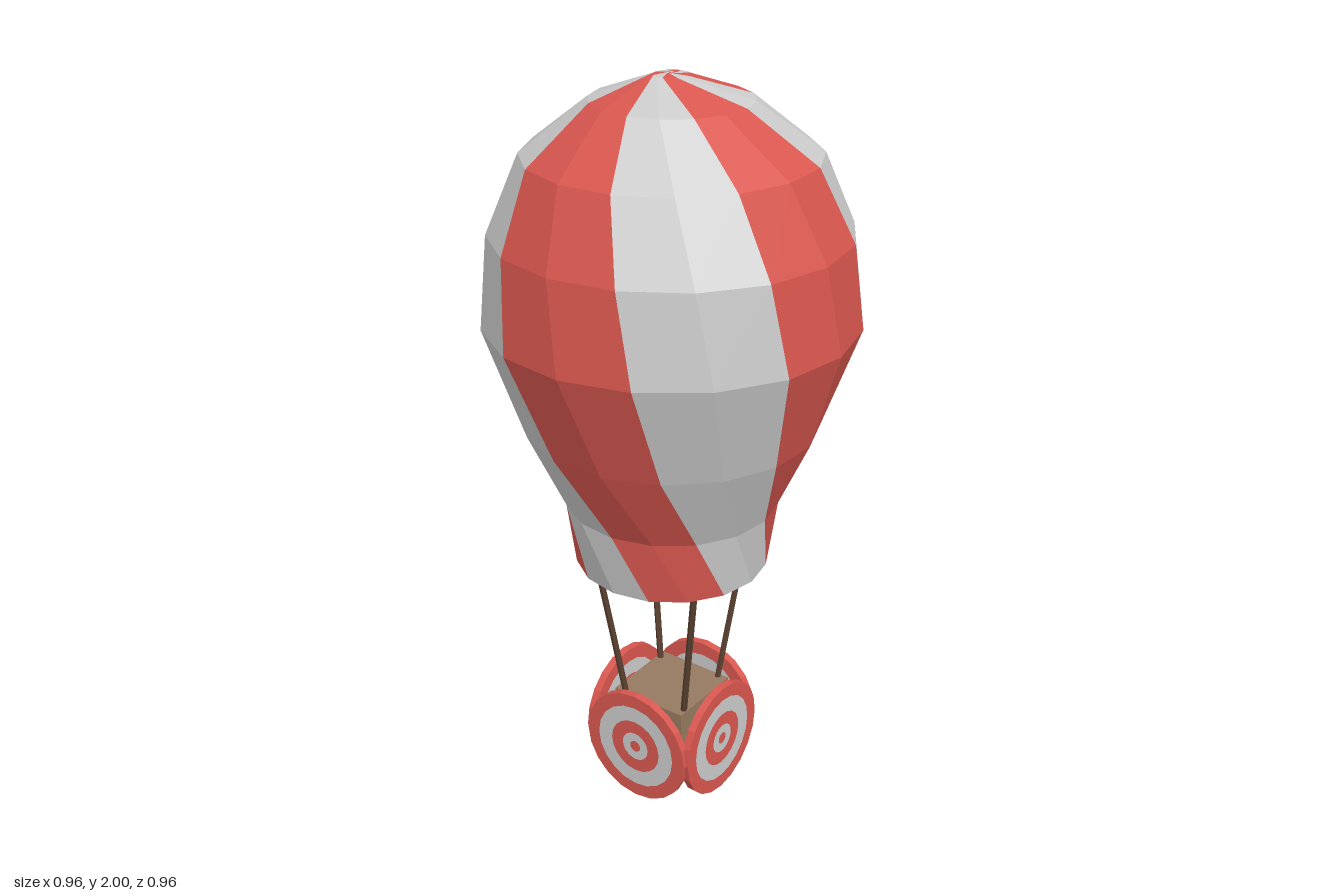
import * as THREE from 'three';

const mat = (color, flatShading = true) => new THREE.MeshStandardMaterial({ color, flatShading });
const RED = mat(0xd9574f);
const GREY = mat(0xcccccc);
const WOOD = mat(0x957a60);
const ROPE = mat(0x5a4030);
// The envelope carries its own panel normals
const STRIPES = [mat(0xd9574f, false), mat(0xcccccc, false)];

function add(parent, name, geometry, material) {
  const mesh = new THREE.Mesh(geometry, material);
  mesh.name = name;
  parent.add(mesh);
  return mesh;
}

// Envelope: twisted rings of [radius, height, twist in degrees],
// from the crown down the outside, round the mouth and up the inside
const RINGS = [
  [0, 2, -100], [0.012, 2, -100], [0.045, 1.997, -60], [0.202, 1.94, -17], [0.37, 1.81, -8],
  [0.455, 1.62, -2.5], [0.48, 1.39, 2.5], [0.385, 1.11, 9.6], [0.283, 0.885, 26], [0.258, 0.705, 45],
  [0.21, 0.695, 46], [0.21, 0.85, 46], [0.245, 0.9, 26], [0.345, 1.12, 9.6], [0.435, 1.39, 2.5],
  [0.41, 1.6, -2.5], [0.33, 1.78, -8], [0.18, 1.9, -17], [0, 1.955, -60],
];

function envelope() {
  const group = new THREE.Group();
  group.name = 'envelope';
  const sides = 16;
  const point = ([r, y, twist], j) => {
    const a = THREE.MathUtils.degToRad(twist - 22.5 + (j * 360) / sides);
    return new THREE.Vector3(r * Math.sin(a), y, r * Math.cos(a));
  };
  const stripes = [0, 1].map(() => ({ position: [], normal: [] }));
  for (let i = 0; i < RINGS.length - 1; i++) {
    for (let j = 0; j < sides; j++) {
      const a = point(RINGS[i], j), d = point(RINGS[i], j + 1);
      const b = point(RINGS[i + 1], j), c = point(RINGS[i + 1], j + 1);
      // One shared normal keeps each slightly bent panel evenly shaded
      const n = c.clone().sub(a).cross(d.clone().sub(b)).normalize();
      const corners = [];
      if (RINGS[i][0] > 0) corners.push(a, b, d);
      if (RINGS[i + 1][0] > 0) corners.push(b, c, d);
      const { position, normal } = stripes[Math.floor(j / 2) % 2];
      for (const p of corners) {
        position.push(p.x, p.y, p.z);
        normal.push(n.x, n.y, n.z);
      }
    }
  }
  stripes.forEach(({ position, normal }, k) => {
    const g = new THREE.BufferGeometry();
    g.setAttribute('position', new THREE.Float32BufferAttribute(position, 3));
    g.setAttribute('normal', new THREE.Float32BufferAttribute(normal, 3));
    add(group, k ? 'greyStripes' : 'redStripes', g, STRIPES[k]);
  });
  return group;
}

// Round target-painted disc facing +z
function targetDisc() {
  const group = new THREE.Group();
  group.name = 'targetDisc';
  const radii = [0.166, 0.127, 0.081, 0.043, 0.017, 0];
  const sides = 20, half = 0.011;
  const edge = new THREE.CylinderGeometry(radii[0], radii[0], half * 2, sides, 1, true);
  add(group, 'discEdge', edge.rotateX(Math.PI / 2), RED);
  for (let i = 0; i < radii.length - 1; i++) {
    for (const back of [0, 1]) {
      const band = new THREE.RingGeometry(radii[i + 1], radii[i], sides);
      band.translate(0, 0, half).rotateY(back * Math.PI);
      add(group, 'discBand', band, i % 2 ? GREY : RED);
    }
  }
  return group;
}

// Straight rope between two points
function rope(from, to) {
  const dir = to.clone().sub(from);
  const mesh = new THREE.Mesh(new THREE.CylinderGeometry(0.009, 0.009, dir.length(), 6), ROPE);
  mesh.name = 'rope';
  mesh.position.copy(from).addScaledVector(dir, 0.5);
  mesh.quaternion.setFromUnitVectors(new THREE.Vector3(0, 1, 0), dir.normalize());
  return mesh;
}

export function createModel() {
  const model = new THREE.Group();
  model.name = 'hotAirBalloon';
  model.add(envelope());

  // Basket
  const basket = add(model, 'basket', new THREE.BoxGeometry(0.228, 0.228, 0.228), WOOD);
  basket.position.y = 0.168;

  // One disc, stub and rope for each side of the basket
  for (let i = 0; i < 4; i++) {
    const side = new THREE.Group();
    side.name = 'basketSide';
    side.rotation.y = (i * Math.PI) / 2;
    const disc = targetDisc();
    disc.position.set(0, 0.166, 0.163);
    side.add(disc);
    const stub = new THREE.CylinderGeometry(0.03, 0.03, 0.06, 8).rotateX(Math.PI / 2);
    add(side, 'discStub', stub, WOOD).position.set(0, 0.166, 0.13);
    side.add(rope(new THREE.Vector3(0.1, 0.26, 0.084), new THREE.Vector3(0.17, 0.74, 0.131)));
    model.add(side);
  }
  return model;
}
